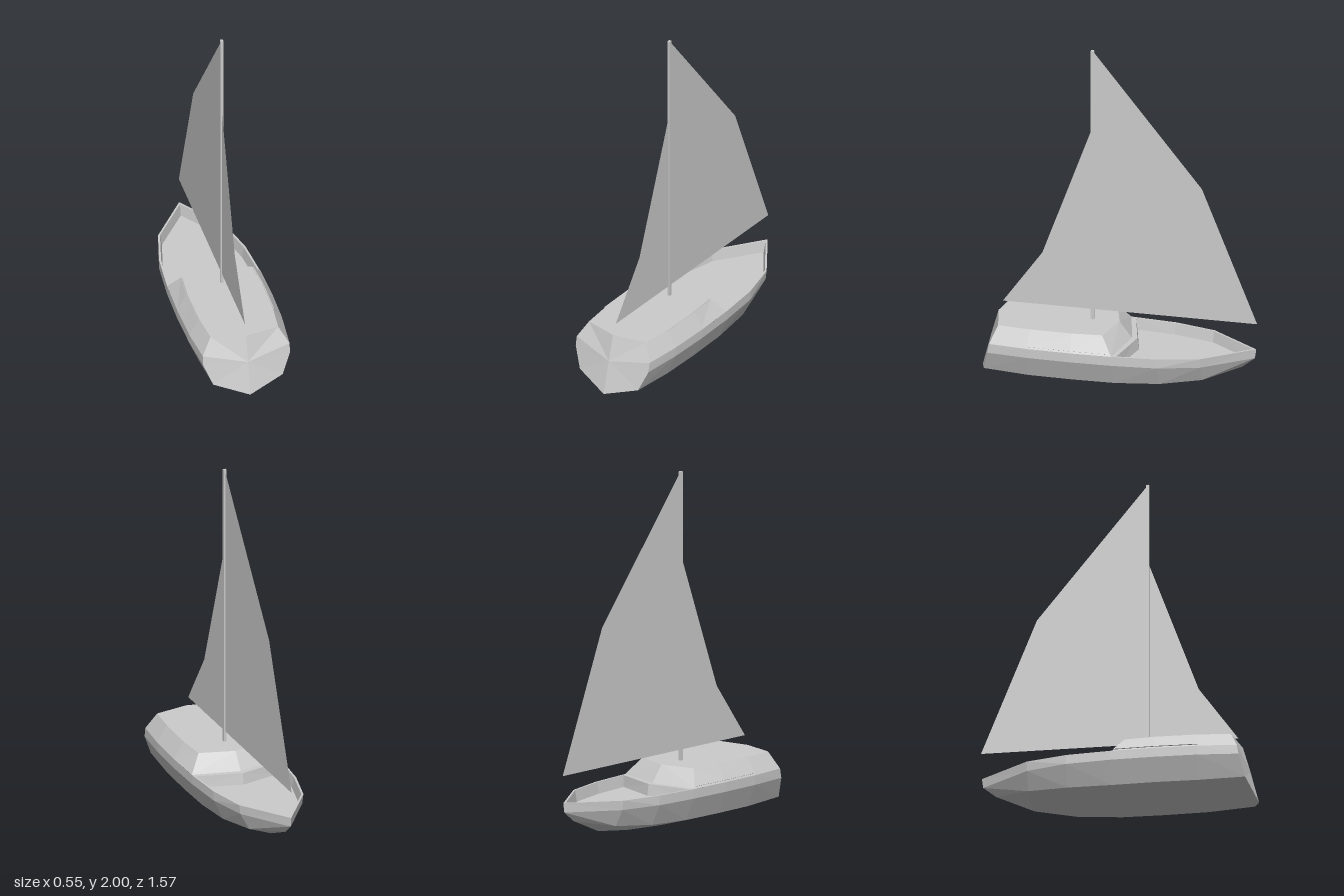
import * as THREE from 'three';

const material = new THREE.MeshStandardMaterial({ color: 0xcccccc, flatShading: true });
const sailMaterial = new THREE.MeshStandardMaterial({ color: 0xcccccc, side: THREE.DoubleSide });

// Skins a grid of points on the +x side and mirrors it to -x.
function mirroredSkin(name, rows) {
  const out = [];
  const tri = (a, b, c) => {
    if (a.equals(b) || b.equals(c) || a.equals(c)) return;
    for (const p of [a, b, c]) out.push(p.x, p.y, p.z);
    for (const p of [a, c, b]) out.push(-p.x, p.y, p.z);
  };
  const grid = rows.map(r => r.map(p => new THREE.Vector3(...p)));
  for (let i = 0; i < grid.length - 1; i++) {
    for (let j = 0; j < grid[i].length - 1; j++) {
      const a = grid[i][j], b = grid[i][j + 1], c = grid[i + 1][j + 1], d = grid[i + 1][j];
      tri(a, c, b);
      tri(a, d, c);
    }
  }
  const geometry = new THREE.BufferGeometry();
  geometry.setAttribute('position', new THREE.Float32BufferAttribute(out, 3));
  geometry.computeVertexNormals();
  const mesh = new THREE.Mesh(geometry, material);
  mesh.name = name;
  return mesh;
}

// Flat sail from [z, y] outline points on the centre plane.
function sail(name, points) {
  const shape = new THREE.Shape(points.map(([z, y]) => new THREE.Vector2(-z, y)));
  const mesh = new THREE.Mesh(new THREE.ShapeGeometry(shape).rotateY(Math.PI / 2), sailMaterial);
  mesh.name = name;
  return mesh;
}

export function createModel() {
  const group = new THREE.Group();
  group.name = 'sailboat';
  const rail = 0.255, roofY = 0.35, floorY = 0.19;

  // Hull stations from stern to bow: keel, chine, side, gunwale
  const station = (z, keelY, chineX, chineY, sideX, railX) =>
    [[0, keelY, z], [chineX, chineY, z], [sideX, 0.2, z], [railX, rail, z]];
  const stern = [[0, 0.01, 0.78], [0.2, 0.08, 0.73], [0.25, 0.2, 0.7], [0.25, rail, 0.69]];
  const hull = [
    stern,
    station(0.47, 0.005, 0.215, 0.07, 0.27, 0.27),
    station(0.225, 0, 0.22, 0.07, 0.275, 0.275),
    station(-0.02, 0.005, 0.215, 0.07, 0.27, 0.27),
    station(-0.27, 0.02, 0.195, 0.08, 0.25, 0.25),
    station(-0.5, 0.05, 0.135, 0.1, 0.188, 0.195),
    [[0, 0.14, -0.7], [0, 0.14, -0.7], [0, 0.2, -0.772], [0, rail, -0.78]],
  ];
  group.add(mirroredSkin('hull', hull));

  // Raked transom
  const ring = [...stern, [0.195, roofY, 0.65], [0, roofY, 0.69]];
  group.add(mirroredSkin('transom', [ring.map(() => [0, 0.2, 0.732]), ring]));

  // Foredeck: rail, bulwark and sunken floor
  const foredeck = [
    [[0.27, -0.02], [0.258, -0.038], [0.247, -0.048], -0.112],
    [[0.25, -0.27], [0.238, -0.268], [0.228, -0.265], -0.27],
    [[0.195, -0.5], [0.184, -0.498], [0.174, -0.495], -0.495],
    [[0, -0.78], [0, -0.76], [0, -0.742], -0.742],
  ].map(([o, i, f, centreZ]) =>
    [[o[0], rail, o[1]], [i[0], rail, i[1]], [f[0], floorY, f[1]], [0, floorY, centreZ]]);
  group.add(mirroredSkin('foredeck', foredeck));

  // Step and sloping front of the cabin
  group.add(mirroredSkin('cabinFront', [
    [[0.247, floorY, -0.048], [0.258, rail, -0.038], [0.27, rail, -0.01], [0.202, roofY, 0.055]],
    [[0, floorY, -0.112], [0, rail, -0.102], [0, rail, -0.07], [0, roofY, 0]],
  ]));
  group.add(mirroredSkin('sideStep', [
    [[0.27, rail, -0.01], [0.27, rail, -0.01]],
    [[0.27, rail, -0.02], [0.258, rail, -0.038]],
  ]));

  // Cabin sides and roof: base, roof edge, roof centre
  const cabin = [
    [[0.25, rail, 0.69], [0.195, roofY, 0.65], [0, roofY, 0.69]],
    [[0.27, rail, 0.47], [0.212, roofY, 0.47], [0, roofY, 0.47]],
    [[0.275, rail, 0.225], [0.215, roofY, 0.225], [0, roofY, 0.225]],
    [[0.27, rail, -0.01], [0.202, roofY, 0.055], [0, roofY, 0]],
  ];
  group.add(mirroredSkin('cabin', cabin));

  // Long side windows, slightly proud of the cabin sides
  const windows = cabin.slice(1).map(([base, top]) => {
    const at = (t, lift) => base.map((v, k) => v + (top[k] - v) * t + [lift, lift * 0.6, 0][k]);
    return [at(0.1, 0), at(0.1, 0.004), at(0.95, 0.004), at(0.95, 0)];
  });
  group.add(mirroredSkin('sideWindows', windows));

  // Mast
  const mast = new THREE.Mesh(new THREE.BoxGeometry(0.016, 2 - roofY, 0.018), material);
  mast.position.set(0, (2 + roofY) / 2, 0.154);
  mast.name = 'mast';
  group.add(mast);

  // Sails
  group.add(sail('largeSail', [[0.154, 2], [0.154, 0.41], [-0.785, 0.41], [-0.47, 1.21]]));
  group.add(sail('smallSail', [[0.154, 1.53], [0.44, 0.73], [0.665, 0.41], [0.154, 0.41]]));

  return group;
}
